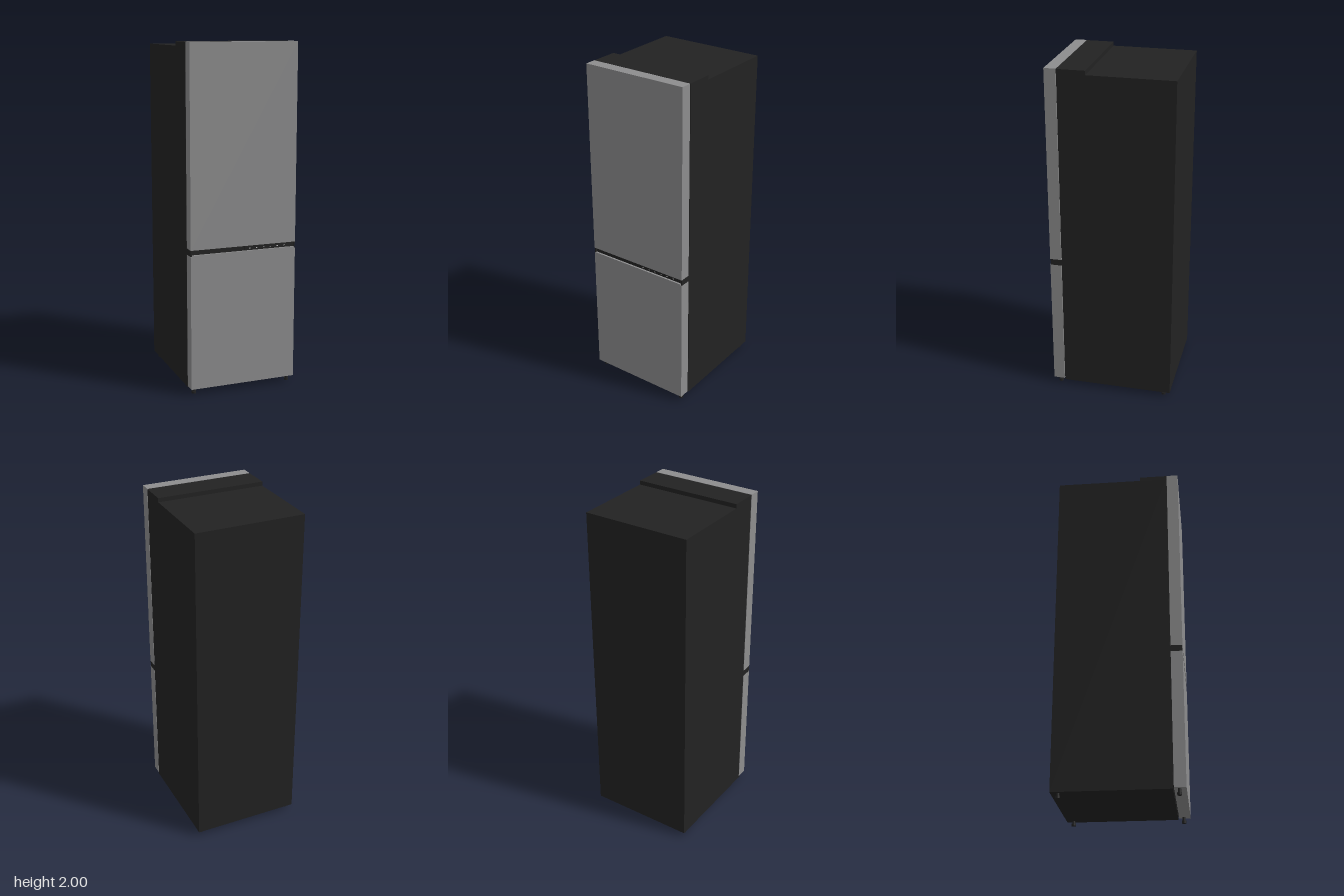
import * as THREE from 'three';

const mat = (name, color) => {
  const m = new THREE.MeshStandardMaterial({ color });
  m.name = name;
  return m;
};

export function createModel() {
  const group = new THREE.Group();
  group.name = 'refrigerator';
  const steel = mat('brushed steel', 0x8d8d8e);
  const black = mat('black casing', 0x222222);
  const light = mat('indicator light', 0xc8c8c8);

  const add = (name, geometry, material) => {
    const mesh = new THREE.Mesh(geometry, material);
    mesh.name = name;
    group.add(mesh);
    return mesh;
  };
  // Box given by its lower and upper limits on each axis
  const box = (name, material, [x0, x1], [y0, y1], [z0, z1]) => {
    const mesh = add(name, new THREE.BoxGeometry(x1 - x0, y1 - y0, z1 - z0), material);
    mesh.position.set((x0 + x1) / 2, (y0 + y1) / 2, (z0 + z1) / 2);
    return mesh;
  };
  const W = 0.32, D = 0.363;

  // Cabinet and hinge cover
  box('cabinet', black, [-W, W], [0.028, 1.975], [-D, 0.292]);
  box('hingeCover', black, [-W, W], [1.975, 1.999], [0.132, 0.295]);

  // Doors with dark gaskets behind them
  for (const [name, y0, y1] of [['upperDoor', 0.856, 2], ['lowerDoor', 0.036, 0.82]]) {
    box(name, steel, [-W, W], [y0, y1], [0.296, D]);
    box(name + 'Gasket', black, [-0.312, 0.312], [y0 + 0.01, y1 - 0.01], [0.291, 0.297]);
  }
  // Raised front lip of the lower door, between the end caps
  box('lowerDoorLip', steel, [-0.313, 0.313], [0.82, 0.827], [0.352, D]);

  // Recessed grip strip with end caps
  box('gripStrip', black, [-0.313, 0.313], [0.82, 0.856], [0.29, 0.35]);
  for (const s of [-1, 1]) {
    const x = [s * 0.313, s * W].sort((a, b) => a - b);
    box('gripEndCap', black, x, [0.82, 0.856], [0.29, 0.36]);
  }

  // Control panel on the left half of the grip, with small indicators
  box('controlPanel', black, [0.01, 0.305], [0.829, 0.853], [0.35, 0.354]);
  for (let i = 0; i < 6; i++) {
    const x = 0.035 + i * 0.043;
    box('indicator', light, [x, x + 0.009], [0.837, 0.841], [0.353, 0.355]);
  }

  // Levelling feet
  for (const x of [-0.293, 0.293]) for (const z of [-0.322, 0.325]) {
    const stem = add('footStem', new THREE.CylinderGeometry(0.009, 0.009, 0.028, 16), black);
    stem.position.set(x, 0.024, z);
    const pad = add('footPad', new THREE.CylinderGeometry(0.013, 0.013, 0.014, 20), black);
    pad.position.set(x, 0.007, z);
  }
  return group;
}
